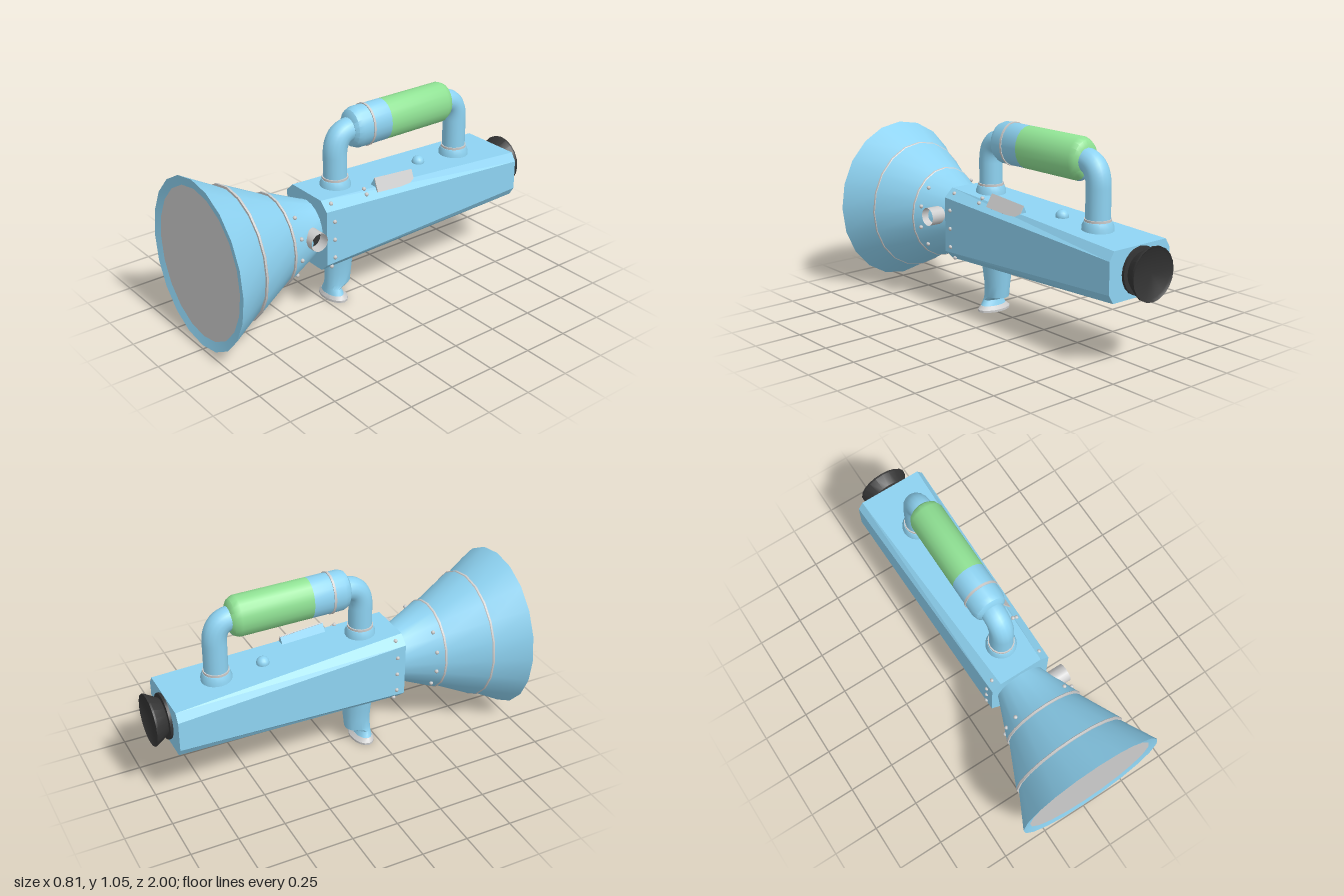
import * as THREE from 'three';
import { toCreasedNormals } from 'three/addons/utils/BufferGeometryUtils.js';

const paint = (color, side = THREE.FrontSide) => new THREE.MeshStandardMaterial({ color, side });
const BLUE = paint(0x8ed3f2);
const GREEN = paint(0x90e294);
const BLACK = paint(0x333333, THREE.DoubleSide);
const GREY = paint(0xcccccc);
const GREY2 = paint(0xcccccc, THREE.DoubleSide);
const AXIS_Y = 0.473; // height of the horn and body axis

// Turned part whose axis runs along z; profile is [radius, z] with z rising
function turnZ(profile, sides, squash = 1, start = 0, sweep = Math.PI * 2) {
  const pts = profile.map(([r, z]) => new THREE.Vector2(r, z));
  const g = new THREE.LatheGeometry(pts, sides, start, sweep);
  g.rotateX(Math.PI / 2).scale(squash, 1, 1);
  return toCreasedNormals(g, 0.6);
}

// Skin and caps over equal-length rings of [x, y, z], counter-clockwise seen from the last ring
function loft(rings, crease) {
  const n = rings[0].length;
  const index = [];
  for (let k = 0; k < rings.length - 1; k++) {
    for (let i = 0; i < n; i++) {
      const a = k * n + i, b = k * n + (i + 1) % n;
      index.push(a, b, b + n, a, b + n, a + n);
    }
  }
  const last = (rings.length - 1) * n;
  for (let i = 1; i < n - 1; i++) index.push(0, i + 1, i, last, last + i, last + i + 1);
  const g = new THREE.BufferGeometry();
  g.setAttribute('position', new THREE.Float32BufferAttribute(rings.flat(2), 3));
  g.setIndex(index);
  return toCreasedNormals(g, crease);
}

export function createModel() {
  const model = new THREE.Group();
  const add = (name, geometry, material, x = 0, y = 0, z = 0, parent = model) => {
    const m = new THREE.Mesh(geometry, material);
    m.name = name;
    m.position.set(x, y, z);
    parent.add(m);
    return m;
  };

  // Flared horn in three stepped sections, with an inset front disc
  const horn = turnZ([
    [0, 0.34], [0.15, 0.34], [0.15, 0.36], [0.248, 0.575], [0.238, 0.58],
    [0.355, 0.805], [0.345, 0.815], [0.45, 1], [0.40, 0.99],
  ], 20, 0.9);
  add('horn', horn, BLUE, 0, AXIS_Y, 0);
  const disc = new THREE.CircleGeometry(0.402, 20, Math.PI / 2);
  add('hornFront', disc.scale(0.92, 1, 1), GREY2, 0, AXIS_Y, 0.99);
  for (const [r, z] of [[0.25, 0.57], [0.358, 0.803]]) {
    add('hornBand', turnZ([[r - 0.004, z], [r, z + 0.003], [r, z + 0.013], [r - 0.018, z + 0.014]], 20, 0.9), GREY, 0, AXIS_Y, 0);
  }

  // Tapering eight-sided body
  const octagon = (z, w, wIn, yLow, yHigh, cut) => [
    [w, yLow + cut, z], [w, yHigh - cut, z], [wIn, yHigh, z], [-wIn, yHigh, z],
    [-w, yHigh - cut, z], [-w, yLow + cut, z], [-wIn, yLow, z], [wIn, yLow, z],
  ];
  add('body', loft([
    octagon(-0.912, 0.2, 0.172, 0.345, 0.597, 0.045),
    octagon(0.355, 0.17, 0.12, 0.275, 0.665, 0.047),
  ], 0.2), BLUE);

  // Eyepiece: collar and flared cup
  add('eyepiece', turnZ([
    [0, -0.985], [0.12, -0.99], [0.135, -1], [0.135, -0.99],
    [0.098, -0.928], [0.12, -0.926], [0.12, -0.905], [0, -0.905],
  ], 20), BLACK, 0, AXIS_Y, 0);

  // Carrying handle: two bent posts with flanges
  const barY = 0.94;
  for (const [z, foot, dir] of [[0.175, 0.64, -1], [-0.63, 0.6, 1]]) {
    const p = (y, dz) => new THREE.Vector3(0, y, z + dir * dz);
    const path = new THREE.CurvePath();
    path.add(new THREE.LineCurve3(p(foot, 0), p(0.82, 0)));
    path.add(new THREE.QuadraticBezierCurve3(p(0.82, 0), p(barY, 0), p(barY, 0.1)));
    path.add(new THREE.LineCurve3(p(barY, 0.1), p(barY, 0.15)));
    add('handlePost', new THREE.TubeGeometry(path, 32, 0.062, 16), BLUE);
    const flange = [[0.08, -0.02], [0.08, 0.03], [0.07, 0.055], [0.06, 0.056]].map(([r, y]) => new THREE.Vector2(r, y));
    add('postFlange', toCreasedNormals(new THREE.LatheGeometry(flange, 20), 0.6), BLUE, 0, foot, z);
    add('postRing', new THREE.CylinderGeometry(0.068, 0.068, 0.012, 20), GREY, 0, foot + 0.062, z);
  }

  // Handle bar: blue sleeve, green grip with a blue strip underneath
  add('handleSleeve', turnZ([[0.11, -0.125], [0.11, 0.05], [0.098, 0.078], [0.075, 0.092], [0, 0.092]], 20, 0.83), BLUE, 0, barY, 0);
  add('sleeveRing', turnZ([[0.1, -0.018], [0.115, -0.018], [0.115, -0.006], [0.1, -0.006]], 20, 0.83), GREY, 0, barY, 0);
  const gripProfile = [[0, -0.555], [0.07, -0.555], [0.095, -0.54], [0.11, -0.51], [0.11, -0.125]];
  const strip = Math.PI / 5;
  add('handleGrip', turnZ(gripProfile, 18, 0.83, strip / 2, Math.PI * 2 - strip), GREEN, 0, barY, 0);
  add('gripStrip', turnZ(gripProfile, 2, 0.83, -strip / 2, strip), BLUE, 0, barY, 0);

  // Lower hand grip, pinched above a spread foot
  const oval = ([y, z, rx, rz]) => Array.from({ length: 16 }, (_, i) => {
    const a = (i / 16) * Math.PI * 2;
    return [-0.02 + rx * Math.sin(a), y, z + rz * Math.cos(a)];
  });
  add('lowerGrip', loft([
    [0.028, 0.185, 0.08, 0.045], [0.06, 0.188, 0.06, 0.038], [0.085, 0.155, 0.062, 0.072],
    [0.15, 0.15, 0.064, 0.075], [0.22, 0.15, 0.075, 0.08], [0.33, 0.148, 0.09, 0.092],
  ].map(oval), 0.6), BLUE);
  add('gripFoot', loft([[0, 0.18, 0.1, 0.06], [0.012, 0.18, 0.1, 0.06], [0.03, 0.185, 0.08, 0.045]].map(oval), 0.5), GREY);

  // Hollow side port
  const port = new THREE.Group();
  port.name = 'sidePort';
  port.position.set(0.16, 0.503, 0.44);
  port.rotation.z = -Math.PI / 2;
  model.add(port);
  add('portTube', new THREE.CylinderGeometry(0.049, 0.049, 0.13, 16, 1, true), GREY2, 0, 0, 0, port);
  add('portFloor', new THREE.CylinderGeometry(0.047, 0.047, 0.01, 16), BLACK, 0, 0.0, 0, port);

  // Wedge housing with a sloping grey panel
  const wedge = new THREE.Group();
  wedge.name = 'panelHousing';
  wedge.position.set(0, 0.65, -0.102);
  wedge.rotation.x = -0.08;
  model.add(wedge);
  const tri = new THREE.Shape([[0.085, -0.035], [0.155, -0.035], [0.12, 0.032]].map(([x, y]) => new THREE.Vector2(x, y)));
  add('housing', new THREE.ExtrudeGeometry(tri, { depth: 0.244, bevelEnabled: false }), BLUE, 0, 0, -0.122, wedge);
  const panel = add('panel', new THREE.BoxGeometry(0.006, 0.076, 0.246), GREY, 0.138, -0.001, 0, wedge);
  panel.rotation.z = Math.atan2(0.035, 0.067);

  // Round button on top
  add('topButton', new THREE.SphereGeometry(0.034, 16, 10), BLUE, 0, 0.63, -0.378);

  // Rivets on the body and around the horn
  const rivetGeometry = new THREE.SphereGeometry(0.011, 8, 6);
  const rivet = (x, y, z) => add('rivet', rivetGeometry, GREY, x, y, z);
  for (const s of [-1, 1]) {
    for (const y of [0.555, 0.455, 0.355]) rivet(s * 0.172, y, 0.308);
    for (const y of [0.643, 0.29]) rivet(s * 0.142, y, 0.308);
    for (const deg of [45, 17, -12, -41]) {
      const a = THREE.MathUtils.degToRad(deg);
      rivet(s * 0.208 * Math.cos(a), AXIS_Y + 0.231 * Math.sin(a), 0.53);
    }
  }
  rivet(0.128, 0.654, 0.09);
  rivet(0.15, 0.632, 0.09);

  return model;
}
